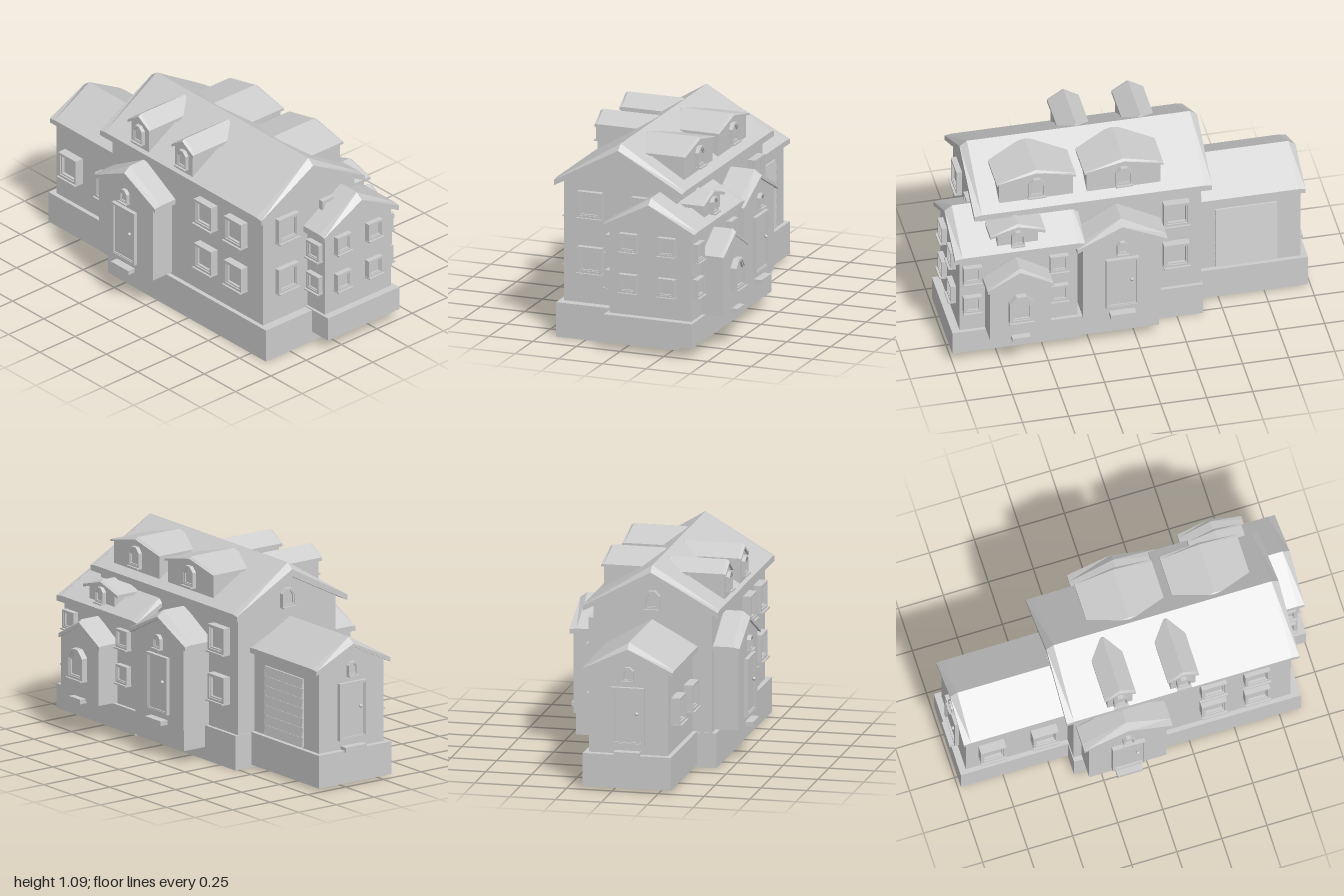
import * as THREE from 'three';

const mat = new THREE.MeshStandardMaterial({ color: 0xcccccc, flatShading: true });
const RIGHT = Math.PI / 2, LEFT = -Math.PI / 2, BACK = Math.PI;

function mesh(name, geo) {
  const m = new THREE.Mesh(geo, mat);
  m.name = name;
  return m;
}

function box(name, x0, x1, y0, y1, z0, z1) {
  const m = mesh(name, new THREE.BoxGeometry(x1 - x0, y1 - y0, z1 - z0));
  m.position.set((x0 + x1) / 2, (y0 + y1) / 2, (z0 + z1) / 2);
  return m;
}

function place(obj, x, y, z, ry = 0) {
  obj.position.set(x, y, z);
  obj.rotation.y = ry;
  return obj;
}

const poly = pts => pts.map(([x, y]) => new THREE.Vector2(x, y));
const extrude = (shape, depth) => new THREE.ExtrudeGeometry(shape, { depth, bevelEnabled: false });

// Outline standing on y = 0; "peak" raises a pointed top with cut shoulders
function outline(w, h, peak, inset) {
  const a = w / 2 - inset, b = inset, t = h - inset;
  if (!peak) return poly([[-a, b], [a, b], [a, t], [-a, t]]);
  return poly([[-a, b], [a, b], [a, t - w * 0.32], [a * 0.4, t], [-a * 0.4, t], [-a, t - w * 0.32]]);
}

// Hollow frame whose front edge is stepped
function frame(w, h, depth, peak, rim) {
  const g = new THREE.Group();
  [[0, rim, depth], [rim * 0.7, rim * 1.5, depth * 0.82]].forEach(([o, i, d]) => {
    const s = new THREE.Shape(outline(w, h, peak, o));
    s.holes.push(new THREE.Path(outline(w, h, peak, i)));
    g.add(mesh('frameRim', extrude(s, d)));
  });
  g.add(mesh('pane', extrude(new THREE.Shape(outline(w, h, peak, rim)), depth * 0.5)));
  return g;
}

function makeWindow(w, h, depth = 0.045, peak = false) {
  const g = frame(w, h, depth, peak, Math.min(0.014, w * 0.12));
  g.name = 'window';
  const e = w / 2 + 0.002;
  g.add(box('sill', -e, e, -0.006, 0.002, 0, depth + 0.012));
  return g;
}

function makeDoor() {
  const g = frame(0.18, 0.315, 0.022, false, 0.011);
  g.name = 'door';
  const knob = mesh('doorKnob', new THREE.SphereGeometry(0.01, 10, 8));
  knob.position.set(0.05, 0.175, 0.02);
  g.add(knob);
  return g;
}

// Gabled roof slab from four cross-sections, with ridge ends cut down
function makeRoof({ half, eave, eaveTop, apex, under, front, back, cut = 0.04 }) {
  const section = (z, drop) => [
    [-half, eave, z], [0, under, z], [half, eave, z],
    [half, eaveTop - drop * 0.2, z], [0, apex - drop, z], [-half, eaveTop - drop * 0.2, z]];
  const drop = cut * 0.75;
  const rings = [section(back, drop), section(back + cut, 0), section(front - cut, 0), section(front, drop)];
  const idx = [];
  for (let i = 0; i < 3; i++) for (let j = 0; j < 6; j++) {
    const a = i * 6 + j, b = i * 6 + (j + 1) % 6;
    idx.push(a, b, b + 6, a, b + 6, a + 6);
  }
  [[0, 1, 4], [0, 4, 5], [1, 2, 3], [1, 3, 4]].forEach(([a, b, c]) =>
    idx.push(a + 18, b + 18, c + 18, a, c, b));
  const geo = new THREE.BufferGeometry();
  geo.setAttribute('position', new THREE.Float32BufferAttribute(rings.flat(2), 3));
  geo.setIndex(idx);
  const flat = geo.toNonIndexed();
  flat.computeVertexNormals();
  return mesh('roof', flat);
}

// Gabled volume: its front is at local z = 0 and it runs backwards
function gableBlock(name, { half, y0, len, roof, over = 0.02, overBack = 0 }) {
  const g = new THREE.Group();
  g.name = name;
  const top = roof.under + 0.01;
  const side = top - (roof.under - roof.eave) * half / roof.half;
  const walls = mesh('walls', extrude(new THREE.Shape(
    poly([[-half, y0], [half, y0], [half, side], [0, top], [-half, side]])), len));
  walls.position.z = -len;
  g.add(walls, makeRoof({ ...roof, front: over, back: -len - overBack }));
  return g;
}

// Doorway with step and small gable window
function addEntrance(g) {
  g.add(place(makeDoor(), 0, 0.245, 0));
  g.add(place(makeWindow(0.06, 0.075, 0.022, true), 0, 0.595, 0));
  g.add(box('doorStep', -0.07, 0.07, 0.187, 0.213, 0, 0.045));
  return g;
}

export function createModel() {
  const house = new THREE.Group();
  house.name = 'house';

  // Foundations
  house.add(
    box('mainFoundation', -0.42, 0.27, 0, 0.19, -0.39, 0.87),
    box('wingFoundation', -0.095, 0.41, 0.06, 0.195, 0.31, 1.0),
    box('porchFoundation', 0.2, 0.41, 0.07, 0.195, -0.12, 0.31),
    box('garageFoundation', -0.315, 0.165, 0.015, 0.195, -0.985, -0.38));

  // Main house
  house.add(place(gableBlock('mainHouse', {
    half: 0.323, y0: 0.18, len: 1.205, over: 0.035, overBack: 0.05,
    roof: { half: 0.367, eave: 0.83, eaveTop: 0.865, apex: 1.09, under: 1.02 },
  }), -0.072, 0, 0.82));

  // Front wing
  house.add(place(gableBlock('frontWing', {
    half: 0.235, y0: 0.18, len: 0.64, over: 0.03, overBack: 0.035,
    roof: { half: 0.265, eave: 0.655, eaveTop: 0.69, apex: 0.85, under: 0.8 },
  }), 0.155, 0, 0.957));

  // Garage wing with rear door and slatted garage door
  const smallRoof = { half: 0.245, eave: 0.63, eaveTop: 0.66, apex: 0.8, under: 0.755 };
  const garage = addEntrance(gableBlock('garage', { half: 0.215, y0: 0.18, len: 0.58, roof: smallRoof }));
  house.add(place(garage, -0.075, 0, -0.95, BACK));
  const garageDoor = new THREE.Group();
  garageDoor.name = 'garageDoor';
  for (let i = 0; i < 7; i++) {
    const slat = mesh('slat', extrude(new THREE.Shape(
      poly([[0, 0], [0.016, 0.004], [0.008, 0.053], [0, 0.054]])), 0.335));
    slat.position.set(0, 0.2 + i * 0.054, -0.82);
    garageDoor.add(slat);
  }
  house.add(place(garageDoor, 0.14, 0, 0));

  // Side porches
  house.add(place(addEntrance(gableBlock('rightPorch', {
    half: 0.212, y0: 0.19, len: 0.2, roof: smallRoof, over: 0.015,
  })), 0.42, 0, 0.082, RIGHT));
  house.add(place(addEntrance(gableBlock('leftPorch', {
    half: 0.215, y0: 0.2, len: 0.17, roof: smallRoof, over: 0.012,
  })), -0.53, 0, -0.125, LEFT));

  // Small bay on the wing
  const bay = gableBlock('bay', {
    half: 0.165, y0: 0.2, len: 0.14, over: 0.006,
    roof: { half: 0.178, eave: 0.505, eaveTop: 0.53, apex: 0.64, under: 0.605, cut: 0.02 },
  });
  bay.add(place(makeWindow(0.13, 0.165, 0.035, true), 0, 0.317, 0));
  bay.add(box('bayStep', -0.05, 0.05, 0.19, 0.215, -0.01, 0.035));
  house.add(place(bay, 0.517, 0, 0.655, RIGHT));

  // Dormers
  const dormer = (name, half, y0, len, roof, x, z, ry, w, h, wy) => {
    const d = gableBlock(name, { half, y0, len, roof, over: 0.012 });
    d.add(place(makeWindow(w, h, 0.022, true), 0, wy, 0));
    house.add(place(d, x, 0, z, ry));
  };
  for (const z of [0.51, 0.035]) dormer('rightDormer', 0.2, 0.87, 0.3,
    { half: 0.215, eave: 1.012, eaveTop: 1.025, apex: 1.08, under: 1.06, cut: 0.015 },
    0.247, z, RIGHT, 0.09, 0.11, 0.92);
  for (const z of [0.215, -0.135]) dormer('leftDormer', 0.07, 0.87, 0.33,
    { half: 0.086, eave: 1.0, eaveTop: 1.018, apex: 1.08, under: 1.055, cut: 0.015 },
    -0.42, z, LEFT, 0.075, 0.1, 0.915);
  dormer('wingDormer', 0.11, 0.69, 0.2,
    { half: 0.15, eave: 0.77, eaveTop: 0.788, apex: 0.84, under: 0.815, cut: 0.015 },
    0.38, 0.64, RIGHT, 0.07, 0.085, 0.715);

  // Large windows: front, right, left and garage side
  const big = (x, y, z, ry, d = 0.045) => house.add(place(makeWindow(0.14, 0.145, d), x, y, z, ry));
  for (const y of [0.62, 0.35]) {
    big(0.25, y, -0.245, RIGHT);
    for (const z of [0.385, 0.625]) big(-0.395, y, z, LEFT);
  }
  for (const y of [0.665, 0.36]) big(-0.238, y, 0.82, 0, 0.03);
  big(0.07, 0.665, 0.82, 0, 0.03);
  for (const z of [-0.52, -0.81]) big(-0.29, 0.35, z, LEFT, 0.05);

  // Small wing windows
  const small = (x, y, z, ry) => house.add(place(makeWindow(0.1, 0.102, 0.03), x, y, z, ry));
  for (const y of [0.545, 0.32]) {
    for (const x of [0.035, 0.255]) small(x, y, 0.957, 0);
    small(0.39, y - 0.03 * (y > 0.5), 0.89, RIGHT);
    small(0.39, y - 0.03 * (y > 0.5), 0.42, RIGHT);
    small(-0.08, y - 0.03 * (y > 0.5), 0.89, LEFT);
  }

  // Rear gable window of the main house
  house.add(place(makeWindow(0.085, 0.1, 0.025, true), -0.072, 0.85, -0.385, BACK));
  return house;
}
